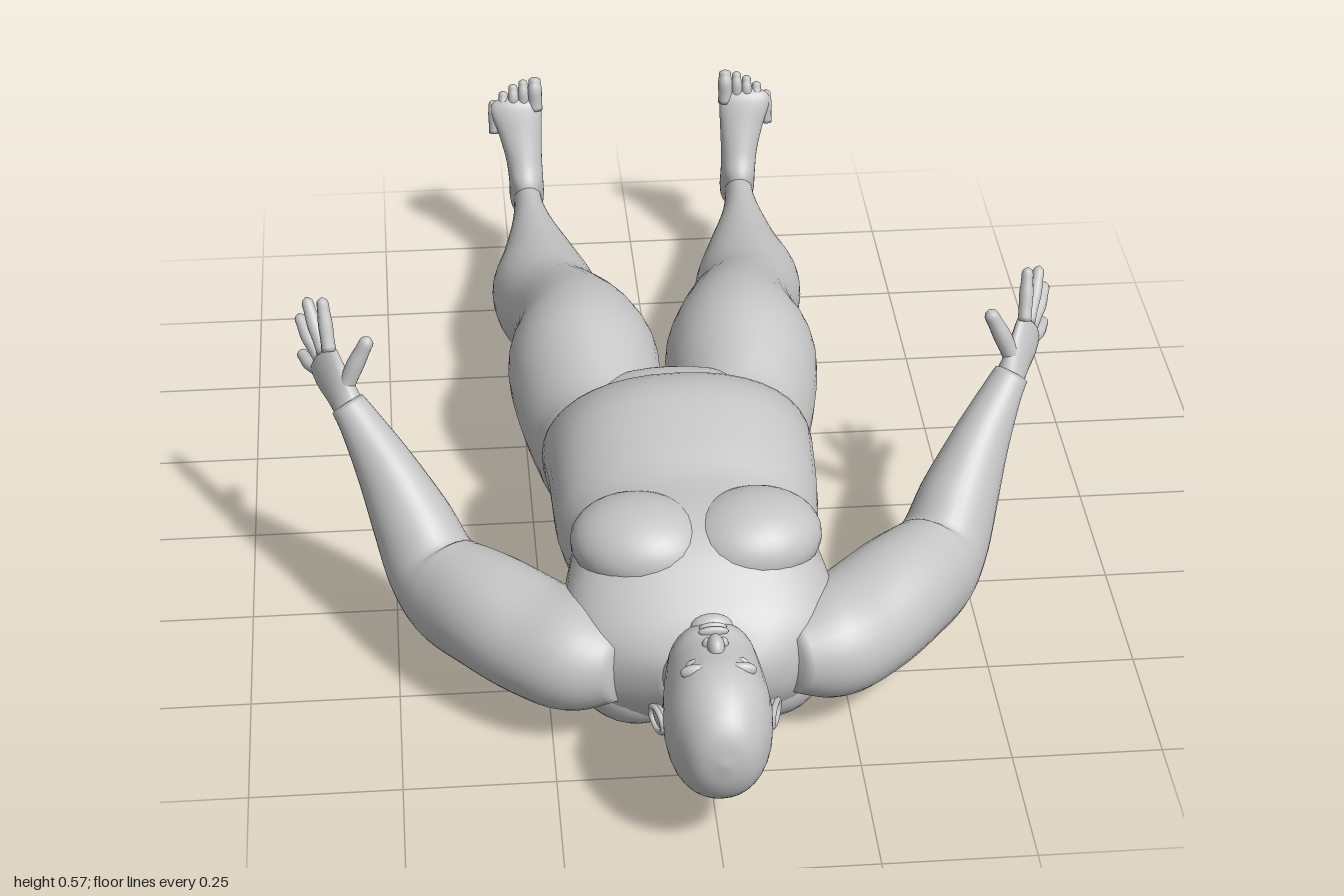
import * as THREE from 'three';

const skin = new THREE.MeshStandardMaterial({ color: 0xc4c4c4 });
skin.name = 'plain grey';
const V = (x, y, z) => new THREE.Vector3(x, y, z);
const X = V(1, 0, 0), Y = V(0, 1, 0), Z = V(0, 0, 1);

// Smooth tube through sections [x, y, z, radiusU, radiusV]; rings follow the path unless an axis is given
function loft(name, rows, { axis = null, ref = Y, power = 2, n = 32, steps = 5 } = {}) {
  const spline = pts => new THREE.CatmullRomCurve3(pts, false, 'catmullrom', 0.5);
  const path = spline(rows.map(r => V(r[0], r[1], r[2])));
  const size = spline(rows.map(r => V(r[3], r[4], 0)));
  const count = (rows.length - 1) * steps;
  const pos = [], idx = [];
  const bend = c => Math.sign(c) * Math.abs(c) ** (2 / power);
  for (let i = 0; i <= count; i++) {
    const p = path.getPoint(i / count), s = size.getPoint(i / count);
    const t = axis ? axis.clone() : path.getTangent(i / count);
    const u = ref.clone().cross(t).normalize(), v = t.clone().cross(u);
    for (let j = 0; j < n; j++) {
      const a = j / n * Math.PI * 2;
      const q = p.clone()
        .addScaledVector(u, bend(Math.cos(a)) * Math.max(s.x, 0.001))
        .addScaledVector(v, bend(Math.sin(a)) * Math.max(s.y, 0.001));
      pos.push(q.x, q.y, q.z);
      if (i < count) {
        const k = (j + 1) % n, b = i * n, c = b + n;
        idx.push(b + j, b + k, c + j, b + k, c + k, c + j);
      }
    }
  }
  // End caps
  const first = rows[0], last = rows[rows.length - 1], c0 = pos.length / 3;
  pos.push(first[0], first[1], first[2], last[0], last[1], last[2]);
  for (let j = 0; j < n; j++) {
    const k = (j + 1) % n;
    idx.push(c0, k, j, c0 + 1, count * n + j, count * n + k);
  }
  const g = new THREE.BufferGeometry();
  g.setAttribute('position', new THREE.Float32BufferAttribute(pos, 3));
  g.setIndex(idx);
  g.computeVertexNormals();
  const m = new THREE.Mesh(g, skin);
  m.name = name;
  return m;
}

// Turns extents [z, x0, x1, y0, y1] into a section
const extent = ([z, x0, x1, y0, y1], s = 1) =>
  [s * (x0 + x1) / 2, (y0 + y1) / 2, z, (x1 - x0) / 2, (y1 - y0) / 2];
const symmetric = ([z, w, y0, y1]) => extent([z, -w, w, y0, y1]);

function ellipsoid(name, p, r, rot = [0, 0, 0]) {
  const m = new THREE.Mesh(new THREE.SphereGeometry(1, 28, 20), skin);
  m.name = name;
  m.position.set(...p);
  m.scale.set(...r);
  m.rotation.set(...rot);
  return m;
}

// Rounded finger or toe through three points
function digit(name, a, b, c, r, ref) {
  const A = V(...a), B = V(...b), C = V(...c);
  const at = (p, q, t, k) => [...p.clone().lerp(q, t).toArray(), r * k, r * k];
  return loft(name, [at(A, B, 0, 1), at(A, B, 0.5, 0.95), at(B, C, 0, 1), at(B, C, 0.5, 0.85),
    at(B, C, 0.85, 0.75), at(B, C, 1, 0.1)], { ref, n: 12, steps: 3 });
}

function buildArm(s) {
  const g = new THREE.Group();
  g.name = s > 0 ? 'leftArm' : 'rightArm';
  const side = r => [s * r[0], ...r.slice(1)];
  // Shoulder, elbow, forearm and wrist
  g.add(loft('arm', [
    [0.13, 0.155, 0.65, 0.06, 0.06], [0.20, 0.15, 0.61, 0.1, 0.092], [0.27, 0.15, 0.555, 0.105, 0.095],
    [0.34, 0.157, 0.49, 0.098, 0.1], [0.40, 0.155, 0.425, 0.085, 0.1], [0.435, 0.175, 0.375, 0.076, 0.09],
    [0.465, 0.235, 0.33, 0.067, 0.076], [0.505, 0.31, 0.28, 0.05, 0.057], [0.545, 0.375, 0.235, 0.036, 0.037],
    [0.567, 0.405, 0.212, 0.03, 0.03]].map(side)));
  // Palm, broad across the knuckles
  g.add(loft('palm', [[0.558, 0.39, 0.222, 0.026, 0.028], [0.578, 0.42, 0.195, 0.019, 0.036],
    [0.594, 0.44, 0.17, 0.016, 0.042], [0.606, 0.458, 0.146, 0.013, 0.04],
    [0.611, 0.465, 0.136, 0.003, 0.02]].map(side), { ref: V(-0.45 * s, 0.85, 0.35), n: 20 }));
  const fingers = [
    ['indexFinger', [0.594, 0.482, 0.165], [0.598, 0.522, 0.145], [0.602, 0.565, 0.125]],
    ['middleFinger', [0.603, 0.47, 0.15], [0.618, 0.507, 0.116], [0.63, 0.543, 0.085]],
    ['ringFinger', [0.608, 0.45, 0.143], [0.63, 0.477, 0.105], [0.645, 0.5, 0.068]],
    ['littleFinger', [0.606, 0.426, 0.148], [0.63, 0.428, 0.112], [0.645, 0.432, 0.08]],
    ['thumb', [0.572, 0.425, 0.203], [0.55, 0.475, 0.198], [0.525, 0.525, 0.195]]];
  for (const [name, ...p] of fingers)
    g.add(digit(name, ...p.map(side), name === 'thumb' ? 0.0155 : 0.0125, Z));
  return g;
}

function buildLeg(s) {
  const g = new THREE.Group();
  g.name = s > 0 ? 'leftLeg' : 'rightLeg';
  // Buttock, thigh, knee, calf and ankle
  g.add(loft('leg', [
    [0.12, 0.05, 0.19, 0.1, 0.24], [0.05, 0.015, 0.232, 0.03, 0.285], [0, 0.006, 0.245, 0.015, 0.295],
    [-0.07, 0.008, 0.266, 0.035, 0.322], [-0.15, 0.006, 0.28, 0.05, 0.35], [-0.22, 0.008, 0.28, 0.052, 0.352],
    [-0.30, 0.03, 0.264, 0.06, 0.335], [-0.40, 0.058, 0.266, 0.062, 0.295], [-0.50, 0.083, 0.29, 0.042, 0.255],
    [-0.60, 0.1, 0.295, 0.042, 0.232], [-0.70, 0.13, 0.272, 0.062, 0.215], [-0.80, 0.165, 0.25, 0.095, 0.205],
    [-0.88, 0.182, 0.24, 0.115, 0.2], [-0.95, 0.185, 0.242, 0.125, 0.2]].map(r => extent(r, s)),
  { axis: V(0, 0, -1) }));
  // Upright foot from heel to ball
  g.add(loft('foot', [
    [0.212, 0.113, -0.948, 0.008, 0.01], [0.212, 0.122, -0.948, 0.027, 0.033], [0.212, 0.15, -0.943, 0.034, 0.048],
    [0.213, 0.195, -0.935, 0.034, 0.053], [0.216, 0.235, -0.947, 0.036, 0.041], [0.222, 0.285, -0.96, 0.043, 0.03],
    [0.228, 0.325, -0.969, 0.05, 0.022], [0.228, 0.345, -0.974, 0.046, 0.016], [0.226, 0.355, -0.976, 0.025, 0.006],
  ].map(r => [s * r[0], ...r.slice(1)]), { axis: Y, ref: Z }));
  // Toes, largest on the inside
  for (let i = 0; i < 5; i++) {
    const x = s * (0.19 + i * 0.02 + (i ? 0.003 : 0)), tip = 0.395 - 0.0025 * i * i - 0.002 * i;
    g.add(digit('toe', [x, tip - 0.065, -0.97], [x, tip - 0.025, -0.974], [x, tip, -0.984],
      i ? 0.0108 : 0.0145, Z));
  }
  return g;
}

function buildHead() {
  const g = new THREE.Group();
  g.name = 'head';
  // Skull, jaw and neck
  g.add(loft('skullAndNeck', [
    [1.0, 0.006, 0.205, 0.217], [0.991, 0.038, 0.162, 0.255], [0.97, 0.06, 0.126, 0.284], [0.93, 0.079, 0.097, 0.312],
    [0.89, 0.086, 0.091, 0.324], [0.85, 0.085, 0.098, 0.322], [0.81, 0.08, 0.115, 0.32], [0.78, 0.074, 0.127, 0.324],
    [0.757, 0.071, 0.128, 0.31], [0.743, 0.073, 0.123, 0.265], [0.715, 0.084, 0.1, 0.24], [0.67, 0.1, 0.08, 0.24],
  ].map(symmetric), { axis: V(0, 0, -1), power: 2.15 }));
  g.add(ellipsoid('nose', [0, 0.32, 0.836], [0.014, 0.02, 0.022], [0.25, 0, 0]));
  g.add(ellipsoid('chin', [0, 0.308, 0.766], [0.034, 0.023, 0.018]));
  g.add(ellipsoid('upperLip', [0, 0.322, 0.798], [0.024, 0.009, 0.006]));
  g.add(ellipsoid('lowerLip', [0, 0.322, 0.787], [0.022, 0.009, 0.006]));
  for (const s of [-1, 1]) {
    g.add(ellipsoid('nostril', [s * 0.012, 0.318, 0.826], [0.009, 0.012, 0.009]));
    g.add(ellipsoid('eyelid', [s * 0.034, 0.304, 0.862], [0.016, 0.012, 0.008]));
    g.add(ellipsoid('brow', [s * 0.034, 0.307, 0.882], [0.026, 0.014, 0.01]));
    // Ear disc with a raised rim
    g.add(ellipsoid('ear', [s * 0.088, 0.198, 0.85], [0.008, 0.019, 0.027], [0, s * -0.3, 0]));
    const rim = new THREE.Mesh(new THREE.TorusGeometry(0.02, 0.005, 8, 24), skin);
    rim.name = 'earRim';
    rim.position.set(s * 0.094, 0.196, 0.852);
    rim.rotation.y = Math.PI / 2 - s * 0.3;
    rim.scale.set(1.3, 0.9, 1);
    g.add(rim);
  }
  return g;
}

export function createModel() {
  const model = new THREE.Group();
  model.name = 'recliningFigure';
  // Trunk from neck to groin
  model.add(loft('torso', [
    [0.74, 0.07, 0.13, 0.23], [0.69, 0.145, 0.066, 0.245], [0.64, 0.21, 0.032, 0.278], [0.57, 0.228, 0.018, 0.325],
    [0.5, 0.22, 0.02, 0.35], [0.41, 0.205, 0.036, 0.358], [0.33, 0.224, 0.052, 0.385], [0.22, 0.23, 0.066, 0.412],
    [0.13, 0.235, 0.052, 0.387], [0.04, 0.23, 0.03, 0.317], [-0.03, 0.19, 0.045, 0.3], [-0.065, 0.11, 0.1, 0.265],
    [-0.075, 0.02, 0.16, 0.2]].map(symmetric), { axis: V(0, 0, -1), power: 2.25, n: 40 }));
  for (const s of [-1, 1]) {
    model.add(ellipsoid('chestMuscle', [s * 0.095, 0.295, 0.5], [0.115, 0.074, 0.1], [0, s * 0.3, 0]));
    model.add(ellipsoid('shoulderBlade', [s * 0.105, 0.09, 0.55], [0.11, 0.09, 0.13]));
    model.add(buildArm(s), buildLeg(s));
  }
  model.add(buildHead());
  return model;
}
